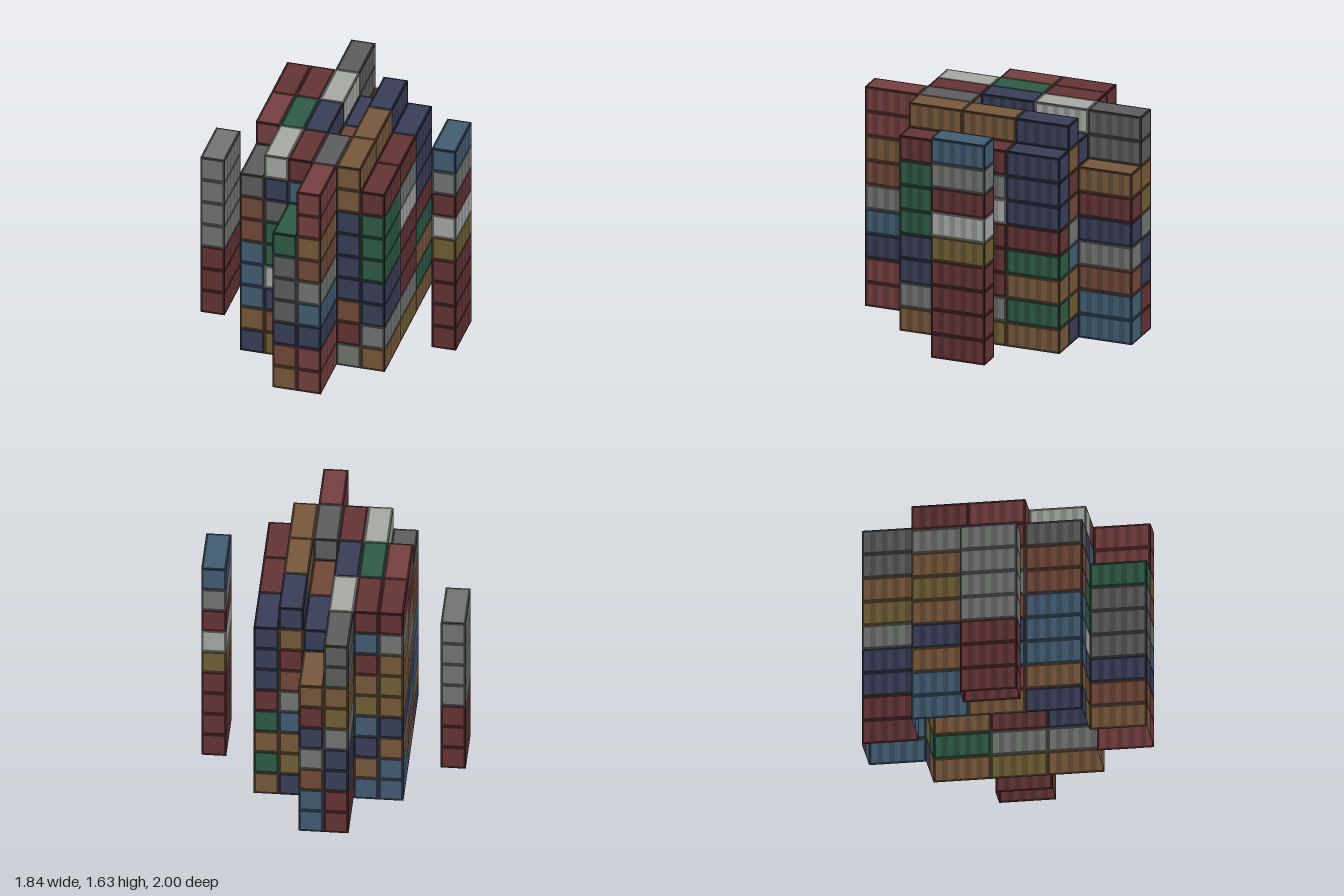
import * as THREE from 'three';
import { mergeGeometries } from 'three/addons/utils/BufferGeometryUtils.js';

const W = 0.174, L = 0.4, H = 0.1815, EDGE = 0.016;

const COLORS = {
  r: ['red', 0x743f40], d: ['darkRed', 0x633335], b: ['brown', 0x76573b],
  k: ['brick', 0x704838], n: ['navy', 0x383e57], u: ['blue', 0x425c72],
  g: ['green', 0x2e5a45], s: ['grey', 0x727472], a: ['darkGrey', 0x5c5c5c],
  w: ['white', 0xa6a8a4], o: ['olive', 0x6e5e35],
};
const SHADES = { Panels: 1, Ribs: 0.84, Frames: 0.52 };

// Stacks by row (z from back to front); each string lists containers from the ground up
const ROWS = [
  { z: -2, first: 2, stacks: ['ddnnsobaa', 'uuksndb'] },
  { z: -1, first: 0, stacks: ['uubnbobsd', 'ubnuobdud', 'ukbnsbdsw', 'bnkdogbn', 'nobuskdbn', 'bgbgdnnn'] },
  { z: 0, first: 0, stacks: ['brunksbdr', 'nbkdsgnbg', 'bunsdkbgn', 'knbsdgnk', 'bkdnsgbnb', 'osdddwsd'] },
  { z: 1, first: 0, stacks: ['nbuuukka', 'oknwggasw'.replace('as', 'an'), 'bksnuksud', 'rbnusdkba', 'sdknnnnbb', 'bsnngggd'] },
  { z: 2, first: 2, stacks: ['bknaaag', 'rrnuskbrr'] },
  { z: 0, first: -2, stacks: ['dddssss'] },   // stack standing apart on the right
  { z: 0, first: 7, stacks: ['ddddowdsu'] },  // stack standing apart on the left
];

const columnX = (i) => (i < 0 ? -0.834 : i > 5 ? 0.834 : (i - 2.5) * W);

export function createModel() {
  const group = new THREE.Group();
  group.name = 'containerStacks';

  const stacks = new Map();
  for (const { z, first, stacks: list } of ROWS) {
    list.forEach((s, n) => stacks.set(`${first + n},${z}`, { i: first + n, k: z, s }));
  }
  const heightAt = (i, k) => stacks.get(`${i},${k}`)?.s.length ?? 0;

  const parts = {};

  // One container face: a dark frame around a plain or ribbed panel
  function addFace(letter, w, h, matrix, ribs) {
    const rect = (shade, x0, x1, y0, y1) => {
      const g = new THREE.PlaneGeometry(x1 - x0, y1 - y0);
      g.translate((x0 + x1) / 2, (y0 + y1) / 2, 0).applyMatrix4(matrix);
      (parts[letter + shade] ??= { letter, shade, list: [] }).list.push(g);
    };
    const a = w / 2, b = h / 2, ia = a - EDGE, ib = b - EDGE;
    rect('Frames', -a, a, ib, b);
    rect('Frames', -a, a, -b, -ib);
    rect('Frames', -a, -ia, -ib, ib);
    rect('Frames', ia, a, -ib, ib);
    const step = (2 * ia) / ribs;
    for (let n = 0; n < ribs; n++) {
      rect(n % 2 ? 'Ribs' : 'Panels', -ia + n * step, -ia + (n + 1) * step, -ib, ib);
    }
  }

  // Walls: neighbour step, turn about y, face width, distance from centre, bands
  const WALLS = [
    [0, 1, 0, W, L / 2, 1],
    [1, 0, Math.PI / 2, L, W / 2, 9],
    [0, -1, Math.PI, W, L / 2, 1],
    [-1, 0, -Math.PI / 2, L, W / 2, 9],
  ];

  // Only the outer shell of the pile is built; it is open underneath
  for (const { i, k, s } of stacks.values()) {
    const x = columnX(i), z = k * L;
    for (const [di, dk, turn, width, reach, ribs] of WALLS) {
      for (let level = heightAt(i + di, k + dk); level < s.length; level++) {
        const m = new THREE.Matrix4().makeRotationY(turn);
        m.setPosition(x + di * reach, (level + 0.5) * H, z + dk * reach);
        addFace(s[level], width, H, m, ribs);
      }
    }
    const roof = new THREE.Matrix4().makeRotationX(-Math.PI / 2);
    roof.setPosition(x, s.length * H, z);
    addFace(s[s.length - 1], W, L, roof, 1);
  }

  // One mesh per colour and kind of surface
  for (const { letter, shade, list } of Object.values(parts)) {
    const [name, hex] = COLORS[letter];
    const c = new THREE.Color(hex);
    const f = SHADES[shade] ** 2.2;
    const material = new THREE.MeshStandardMaterial({
      color: c.multiplyScalar(f), side: THREE.DoubleSide,
    });
    const mesh = new THREE.Mesh(mergeGeometries(list), material);
    mesh.name = `${name}Container${shade}`;
    group.add(mesh);
  }
  return group;
}
